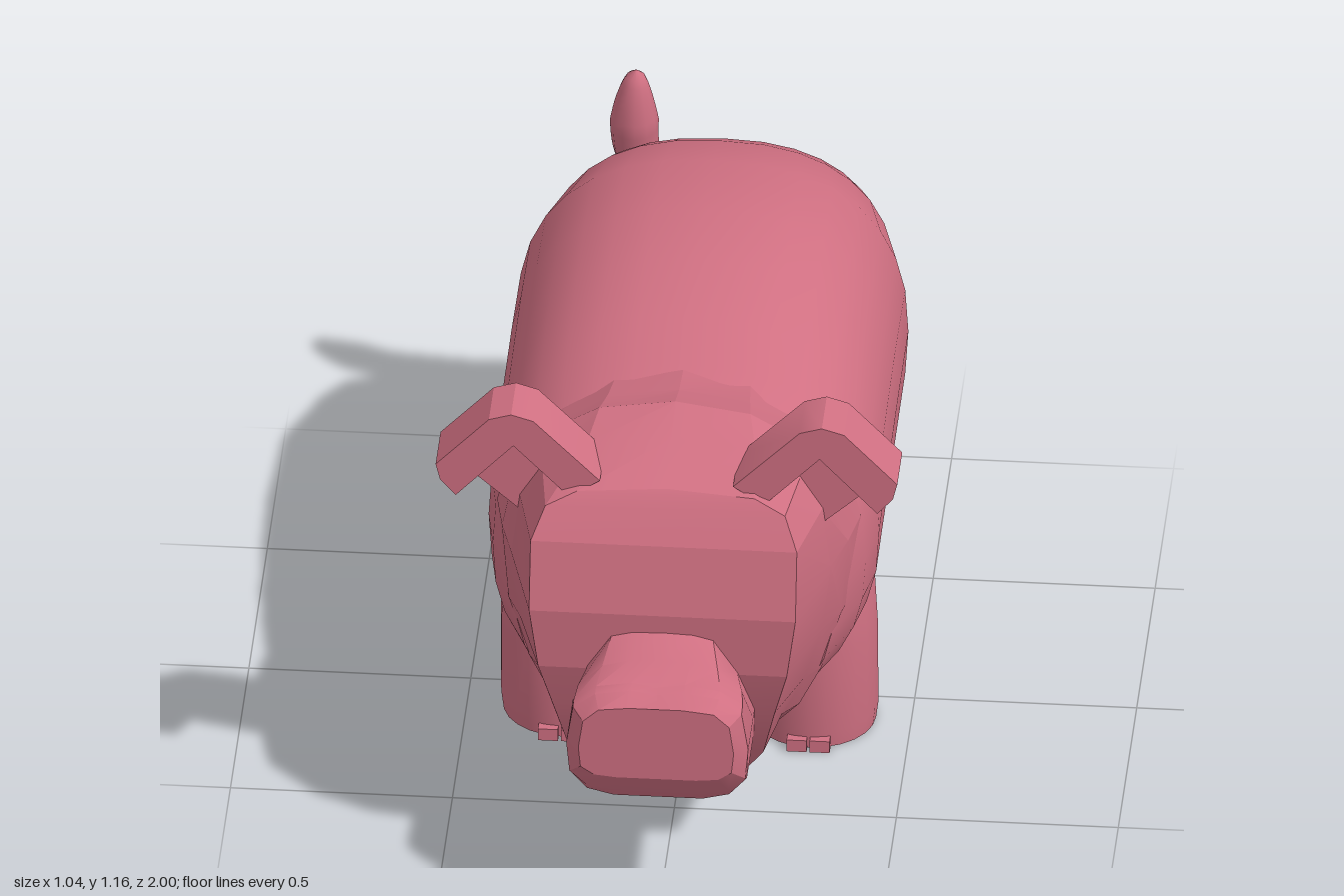
import * as THREE from 'three';
import { toCreasedNormals } from 'three/addons/utils/BufferGeometryUtils.js';

const pink = new THREE.MeshStandardMaterial({ color: 0xd07082 });

function add(parent, name, geometry) {
  const mesh = new THREE.Mesh(geometry, pink);
  mesh.name = name;
  parent.add(mesh);
  return mesh;
}

// Skin a list of closed rings (even point count) and close both ends with strips.
function loft(rings, crease) {
  const pos = [];
  const tri = (a, b, c) => pos.push(...a, ...b, ...c);
  const n = rings[0].length;
  for (let i = 0; i < rings.length - 1; i++) {
    for (let j = 0; j < n; j++) {
      const k = (j + 1) % n, p = rings[i], q = rings[i + 1];
      tri(p[j], q[j], p[k]);
      tri(p[k], q[j], q[k]);
    }
  }
  const cap = (r, flip) => {
    const put = (a, b, c) => (flip ? tri(a, c, b) : tri(a, b, c));
    for (let j = 0; j < n / 2; j++) {
      const l0 = r[(n - j) % n], l1 = r[n - j - 1];
      if (j > 0) put(r[j], l0, l1);
      if (j < n / 2 - 1) put(r[j], l1, r[j + 1]);
    }
  };
  cap(rings[0], true);
  cap(rings[rings.length - 1], false);
  const g = new THREE.BufferGeometry();
  g.setAttribute('position', new THREE.Float32BufferAttribute(pos, 3));
  return toCreasedNormals(g, crease);
}

// Complete a half outline (top to bottom on +x) with its mirror image.
const mirrorRing = (half) => [
  ...half,
  ...half.slice(1, -1).reverse().map(([x, y, z]) => [-x, y, z]),
];
const atZ = (z, half) => mirrorRing(half.map(([x, y]) => [x, y, z]));

// Body section: top z, top y, bottom z, bottom y, half width.
function bodyRing([zt, yt, zb, yb, w]) {
  const ring = [], n = 32;
  const pow = (v) => Math.sign(v) * Math.abs(v) ** (2 / 2.4);
  for (let i = 0; i < n; i++) {
    const a = (i / n) * Math.PI * 2;
    const t = (1 + pow(Math.cos(a))) / 2;
    ring.push([w * pow(Math.sin(a)), yb + (yt - yb) * t, zb + (zt - zb) * t]);
  }
  return ring;
}

// Leg: rings [y, radius, centre z] stacked upwards.
function legGeometry(cx, levels) {
  const n = 24;
  return loft(levels.map(([y, r, cz]) => Array.from({ length: n }, (_, i) => {
    const a = (i / n) * Math.PI * 2;
    return [cx + r * Math.sin(a), y, cz - r * Math.cos(a)];
  })), 0.7);
}

function addLeg(parent, name, cx, levels, toeZ, toeHeight) {
  const leg = new THREE.Group();
  leg.name = name;
  add(leg, 'legColumn', legGeometry(cx, levels));
  for (const s of [-1, 1]) {
    const toe = add(leg, 'toe', new THREE.BoxGeometry(0.045, toeHeight, 0.05));
    toe.position.set(cx + s * 0.026, levels[0][0] + toeHeight / 2, toeZ);
  }
  parent.add(leg);
}

// Folded ear: a rounded back plate with a V-shaped hood reaching forward.
function addEar(parent, s) {
  const ear = new THREE.Group();
  ear.name = s > 0 ? 'leftEar' : 'rightEar';
  const plate = [[0.35, 1.165], [0.4, 1.15], [0.52, 1.025], [0.5, 0.97], [0.44, 0.92],
    [0.34, 0.83], [0.26, 0.87], [0.17, 0.97], [0.15, 1.0], [0.3, 1.15]];
  const rings = [[0.49, 0.45], [0.52, 0.78], [0.575, 0.98], [0.6, 1]].map(([z, k], i) => {
    const ring = plate.map(([x, y]) => [s * (0.31 + (x - 0.31) * k), 0.9 + (y - 0.9) * k, Math.min(z, 0.58 + i * 0.001)]);
    return s > 0 ? ring : ring.reverse();
  });
  add(ear, 'earPlate', loft(rings, 0.6));
  const hood = [[0.15, 1.0], [0.3, 1.15], [0.35, 1.165], [0.4, 1.15], [0.52, 1.025],
    [0.51, 0.985], [0.475, 0.945], [0.345, 1.083], [0.22, 0.955]];
  const shape = new THREE.Shape(hood.map(([x, y]) => new THREE.Vector2(s * x, y)));
  const g = new THREE.ExtrudeGeometry(shape, { depth: 0.135, bevelEnabled: false });
  g.translate(0, 0, 0.58);
  add(ear, 'earHood', toCreasedNormals(g, 0.5));
  parent.add(ear);
}

// Curled tail, thickening towards a rounded tip.
function tailGeometry() {
  const curve = new THREE.CatmullRomCurve3([
    [-0.02, 0.84, -0.81], [0.015, 0.81, -0.91], [-0.01, 0.74, -0.945], [-0.08, 0.715, -0.95],
    [-0.16, 0.75, -0.94], [-0.2, 0.85, -0.905], [-0.205, 0.97, -0.885], [-0.2, 1.08, -0.875],
  ].map((p) => new THREE.Vector3(...p)));
  const steps = 40, sides = 12;
  const g = new THREE.TubeGeometry(curve, steps, 1, sides);
  const p = g.attributes.position, v = new THREE.Vector3();
  for (let i = 0; i <= steps; i++) {
    const t = i / steps, c = curve.getPointAt(t);
    const r = (0.035 + 0.025 * t) * Math.sqrt(Math.max(0, Math.min(1, (1 - t) / 0.2)));
    for (let j = 0; j <= sides; j++) {
      const k = i * (sides + 1) + j;
      v.fromBufferAttribute(p, k).sub(c).multiplyScalar(r).add(c);
      p.setXYZ(k, v.x, v.y, v.z);
    }
  }
  g.computeVertexNormals();
  return g;
}

export function createModel() {
  const pig = new THREE.Group();
  pig.name = 'pig';

  // Barrel body with a slanted rump
  add(pig, 'body', loft([
    [-0.9, 0.8, -1.0, 0.33, 0.2], [-0.87, 0.87, -1.0, 0.27, 0.3],
    [-0.8, 0.955, -0.955, 0.25, 0.36], [-0.72, 1.0, -0.8, 0.22, 0.395],
    [-0.55, 1.055, -0.55, 0.19, 0.44], [-0.3, 1.085, -0.3, 0.165, 0.44],
    [-0.1, 1.08, -0.1, 0.155, 0.44], [0.1, 1.05, 0.1, 0.165, 0.44],
    [0.24, 1.015, 0.24, 0.175, 0.44], [0.37, 1.0, 0.37, 0.2, 0.42],
    [0.5, 0.93, 0.5, 0.22, 0.36],
  ].map(bodyRing), 0.6));

  // Faceted head: neck, crest, cheeks, then the face and chin
  const head = new THREE.Group();
  head.name = 'head';
  pig.add(head);
  add(head, 'skull', loft([
    atZ(0.24, [[0, 1.01], [0.15, 0.985], [0.27, 0.91], [0.34, 0.83], [0.37, 0.7], [0.36, 0.52],
      [0.31, 0.37], [0.26, 0.28], [0.18, 0.21], [0.1, 0.19], [0, 0.185]]),
    atZ(0.37, [[0, 1.03], [0.16, 1.01], [0.29, 0.94], [0.37, 0.86], [0.41, 0.72], [0.395, 0.52],
      [0.34, 0.36], [0.29, 0.27], [0.2, 0.2], [0.1, 0.185], [0, 0.18]]),
    atZ(0.48, [[0, 1.07], [0.17, 1.045], [0.3, 0.97], [0.36, 0.87], [0.39, 0.72], [0.375, 0.53],
      [0.33, 0.38], [0.28, 0.28], [0.2, 0.2], [0.1, 0.17], [0, 0.165]]),
    atZ(0.59, [[0, 1.04], [0.19, 1.02], [0.29, 0.95], [0.34, 0.87], [0.36, 0.72], [0.34, 0.55],
      [0.3, 0.42], [0.25, 0.32], [0.2, 0.23], [0.1, 0.14], [0, 0.135]]),
    mirrorRing([[0, 0.99, 0.72], [0.2, 0.98, 0.73], [0.27, 0.95, 0.75], [0.3, 0.88, 0.79],
      [0.3, 0.72, 0.83], [0.28, 0.57, 0.825], [0.25, 0.45, 0.79], [0.22, 0.31, 0.735],
      [0.17, 0.22, 0.68], [0.1, 0.14, 0.63], [0, 0.135, 0.62]]),
  ], 0.25));

  // Boxy snout with a raised bridge
  const lower = [[0.205, 0.46], [0.2, 0.37], [0.16, 0.325], [0.1, 0.31], [0, 0.31]];
  add(head, 'snout', loft([
    atZ(0.7, [[0, 0.69], [0.07, 0.685], [0.12, 0.67], [0.16, 0.58], ...lower]),
    atZ(0.83, [[0, 0.675], [0.07, 0.672], [0.115, 0.66], [0.17, 0.575], ...lower]),
    atZ(0.89, [[0, 0.64], [0.07, 0.637], [0.13, 0.62], [0.185, 0.565], ...lower]),
    atZ(0.94, [[0, 0.6], [0.06, 0.61], [0.14, 0.597], [0.19, 0.56], ...lower]),
    atZ(0.965, [[0, 0.597], [0.06, 0.605], [0.14, 0.592], [0.19, 0.555],
      [0.205, 0.46], [0.198, 0.385], [0.16, 0.35], [0.1, 0.34], [0, 0.34]]),
    atZ(1.0, [[0, 0.575], [0.06, 0.58], [0.13, 0.572], [0.165, 0.54],
      [0.175, 0.47], [0.17, 0.42], [0.14, 0.4], [0.09, 0.395], [0, 0.395]]),
  ], 0.5));

  for (const s of [1, -1]) {
    const side = s > 0 ? 'left' : 'right';
    addEar(head, s);
    addLeg(pig, side + 'FrontLeg', s * 0.28,
      [[0, 0.14, 0.085], [0.04, 0.145, 0.085], [0.25, 0.145, 0.09], [0.4, 0.137, 0.09], [0.5, 0.11, 0.09]], 0.22, 0.03);
    addLeg(pig, side + 'RearLeg', s * 0.22,
      [[0.035, 0.132, -0.75], [0.1, 0.142, -0.76], [0.28, 0.147, -0.79], [0.42, 0.135, -0.79], [0.5, 0.1, -0.79]], -0.605, 0.055);
  }

  add(pig, 'tail', tailGeometry());
  return pig;
}
